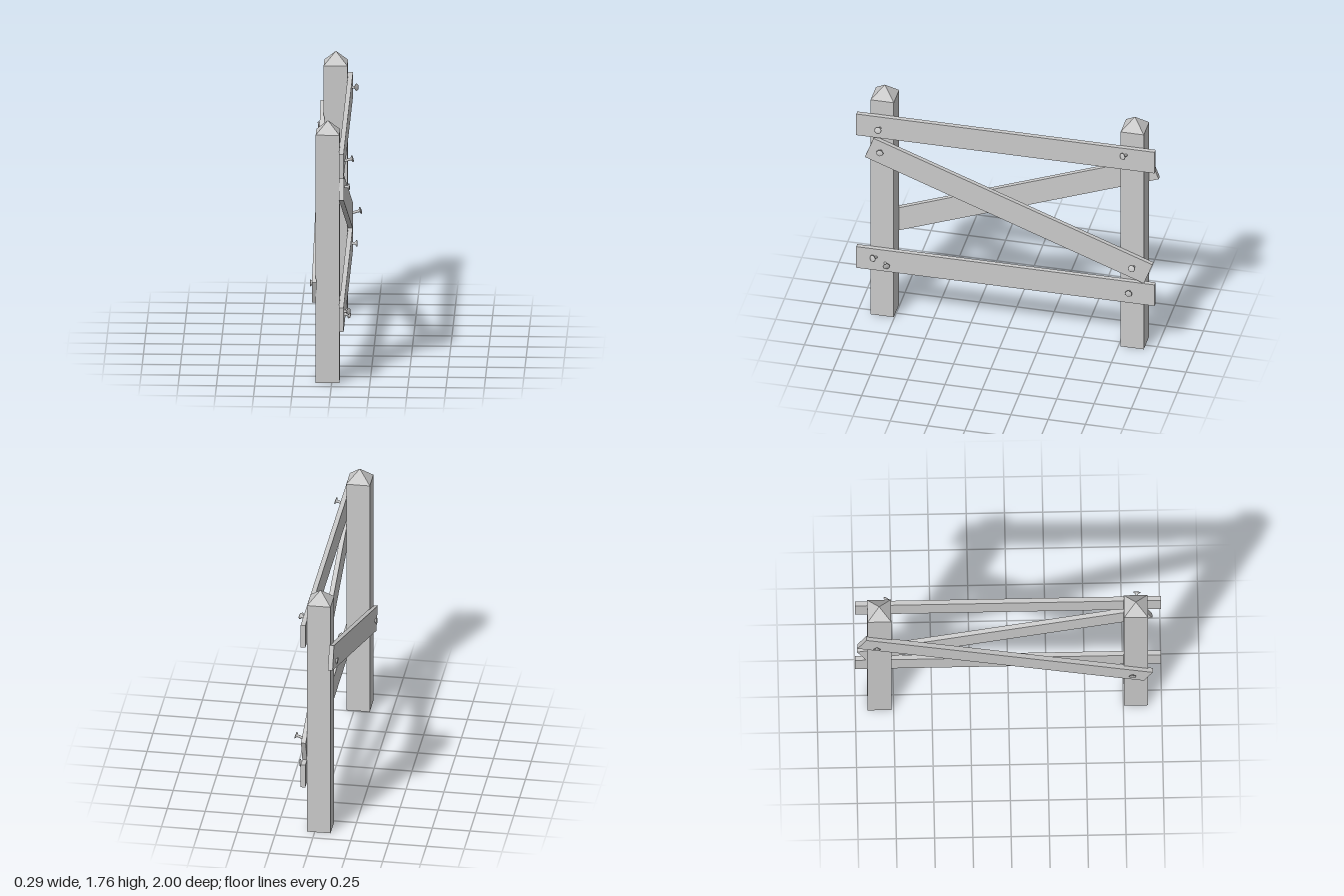
import * as THREE from 'three';

export function createModel() {
  const model = new THREE.Group();
  const wood = new THREE.MeshStandardMaterial({ color: 0xcccccc, flatShading: true });
  const metal = new THREE.MeshStandardMaterial({ color: 0xcccccc });

  function add(name, geometry, material, x, y, z) {
    const mesh = new THREE.Mesh(geometry, material);
    mesh.name = name;
    mesh.position.set(x, y, z);
    model.add(mesh);
    return mesh;
  }

  // Square posts with pyramid caps
  const postX = -0.027, postW = 0.155, postH = 1.68, capH = 0.08;
  const cap = new THREE.ConeGeometry(postW / Math.SQRT2, capH, 4, 1, true).rotateY(Math.PI / 4);
  for (const [name, z] of [['front', 0.833], ['back', -0.843]]) {
    add(name + 'Post', new THREE.BoxGeometry(postW, postH, postW), wood, postX, postH / 2, z);
    add(name + 'PostCap', cap, wood, postX, postH + capH / 2, z);
  }

  // Horizontal rails and the two crossing braces share one plank
  const plank = new THREE.BoxGeometry(0.031, 0.165, 2);
  add('topRail', plank, wood, 0.065, 1.492, 0);
  add('bottomRail', plank, wood, 0.065, 0.453, 0);
  const tilt = 0.363;
  add('leftBrace', plank, wood, 0.065, 0.969, -0.022).rotation.x = -tilt;
  add('rightBrace', plank, wood, -0.113, 0.969, -0.022).rotation.x = tilt;

  // Loose nails: each runs from a point in the plank to its head
  const up = new THREE.Vector3(0, 1, 0);
  function nail(base, tip) {
    const from = new THREE.Vector3(...base);
    const dir = new THREE.Vector3(...tip).sub(from);
    const len = dir.length();
    const profile = [[0, 0], [0.009, 0], [0.009, len - 0.014], [0.024, len - 0.005], [0.021, len], [0, len + 0.001]]
      .map(([r, y]) => new THREE.Vector2(r, y));
    const mesh = add('nail', new THREE.LatheGeometry(profile, 12), metal, ...base);
    mesh.quaternion.setFromUnitVectors(up, dir.normalize());
  }
  const nails = [
    // top rail
    [[0.07, 1.485, 0.84], [0.137, 1.505, 0.843]],
    [[0.07, 1.523, -0.815], [0.113, 1.53, -0.79]],
    // left brace
    [[0.07, 1.31, 0.835], [0.115, 1.312, 0.835]],
    [[0.07, 0.655, -0.862], [0.137, 0.677, -0.857]],
    // bottom rail
    [[0.07, 0.472, 0.862], [0.113, 0.48, 0.885]],
    [[0.07, 0.438, 0.81], [0.113, 0.43, 0.79]],
    [[0.07, 0.46, -0.83], [0.113, 0.46, -0.832]],
    // right brace
    [[-0.11, 1.255, -0.86], [-0.144, 1.252, -0.86]],
    [[-0.11, 0.65, 0.81], [-0.144, 0.65, 0.81]],
  ];
  for (const [base, tip] of nails) nail(base, tip);

  return model;
}
